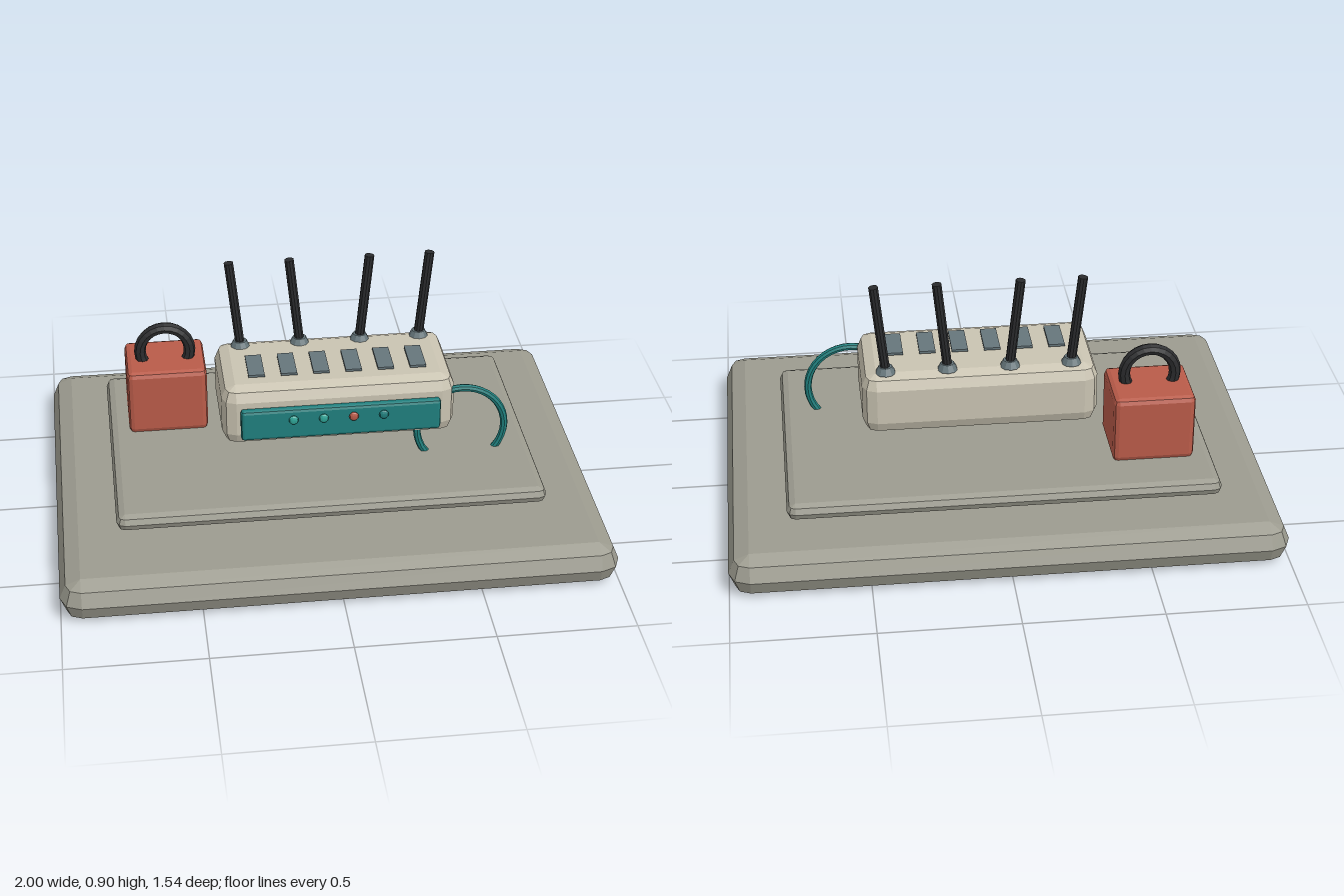
import * as THREE from 'three';

const mat = (name, color) => {
  const m = new THREE.MeshStandardMaterial({ color });
  m.name = name;
  return m;
};

// Give a geometry hard facets
function facet(geo) {
  const g = geo.index ? geo.toNonIndexed() : geo;
  g.computeVertexNormals();
  return g;
}

// Box with two-step bevels on every edge, stacked from rounded-rectangle loops
function bevelBox(w, h, d, r) {
  const rings = [];
  for (const [lat, side] of [[-90, -1], [-45, -1], [0, -1], [0, 1], [45, 1], [90, 1]]) {
    const e = THREE.MathUtils.degToRad(lat), ring = [];
    for (let c = 0; c < 4; c++) {
      const sx = c === 0 || c === 3 ? 1 : -1, sz = c < 2 ? -1 : 1;
      for (let k = 0; k < 3; k++) {
        const a = (c * 2 + k) * Math.PI / 4;
        ring.push(new THREE.Vector3(
          sx * (w / 2 - r) + r * Math.cos(e) * Math.cos(a),
          side * (h / 2 - r) + r * Math.sin(e),
          sz * (d / 2 - r) - r * Math.cos(e) * Math.sin(a)));
      }
    }
    rings.push(ring);
  }
  const pts = [], tri = new THREE.Triangle();
  const add = (a, b, c) => {
    if (tri.set(a, b, c).getArea() > 1e-9) pts.push(a, b, c);
  };
  for (let j = 0; j < rings.length - 1; j++) {
    for (let i = 0; i < 12; i++) {
      const n = (i + 1) % 12, lo = rings[j], hi = rings[j + 1];
      add(lo[i], lo[n], hi[n]);
      add(lo[i], hi[n], hi[i]);
    }
  }
  const b = rings[0], t = rings[5];
  for (let i = 1; i < 11; i++) {
    add(t[0], t[i], t[i + 1]);
    add(b[0], b[i + 1], b[i]);
  }
  return facet(new THREE.BufferGeometry().setFromPoints(pts));
}

export function createModel() {
  const model = new THREE.Group();
  const stone = mat('stone', 0x9c9b8f);
  const cream = mat('cream', 0xc9c3b1);
  const red = mat('brick red', 0xb95b49);
  const teal = mat('teal', 0x1f7f7d);
  const mint = mat('bright teal', 0x2fa597);
  const slate = mat('slate', 0x66767b);
  const black = mat('charcoal', 0x2a2b2d);

  const add = (name, geo, material, x, y, z, parent = model) => {
    const m = new THREE.Mesh(geo, material);
    m.name = name;
    m.position.set(x, y, z);
    parent.add(m);
    return m;
  };
  // Bevelled box placed by its extents
  const block = (name, material, x0, x1, y0, y1, z0, z1, r) =>
    add(name, bevelBox(x1 - x0, y1 - y0, z1 - z0, r), material,
      (x0 + x1) / 2, (y0 + y1) / 2, (z0 + z1) / 2);

  // Two-tier stand
  block('base', stone, -1, 1, 0, 0.152, -0.772, 0.772, 0.076);
  block('plinth', stone, -0.785, 0.785, 0.174, 0.236, -0.553, 0.469, 0.031);

  // Router housing and front panel
  block('housing', cream, -0.375, 0.49, 0.318, 0.556, -0.233, 0.17, 0.052);
  block('frontPanel', teal, -0.31, 0.43, 0.36, 0.483, 0.165, 0.2, 0.012);

  // Indicator lights
  const lights = new THREE.Group();
  lights.name = 'indicatorLights';
  model.add(lights);
  const lightGeo = facet(new THREE.SphereGeometry(0.018, 10, 8).scale(1, 1, 0.5));
  [mint, mint, red, teal].forEach((m, i) =>
    add('light', lightGeo, m, -0.118 + i * 0.111, 0.445, 0.209, lights));

  // Vents on the lid
  const vents = new THREE.Group();
  vents.name = 'vents';
  model.add(vents);
  const ventGeo = new THREE.BoxGeometry(0.06, 0.009, 0.15);
  for (let i = 0; i < 6; i++) add('vent', ventGeo, slate, -0.24 + i * 0.12, 0.566, 0.008, vents);

  // Antennas splayed outward in pairs, each on a tapered foot
  const footGeo = facet(new THREE.CylinderGeometry(0.025, 0.038, 0.026, 10));
  const rodGeo = facet(new THREE.CylinderGeometry(0.018, 0.018, 0.345, 10));
  [-0.278, -0.053, 0.176, 0.402].forEach((x, i) => {
    const antenna = new THREE.Group();
    antenna.name = 'antenna';
    model.add(antenna);
    add('antennaFoot', footGeo, slate, x, 0.565, -0.173, antenna);
    const lean = i < 2 ? -1 : 1;
    const rod = add('antennaRod', rodGeo, black, x + lean * 0.018, 0.731, -0.176, antenna);
    const dir = new THREE.Vector3(lean * 0.036, 0.34, -0.007).normalize();
    rod.quaternion.setFromUnitVectors(new THREE.Vector3(0, 1, 0), dir);
  });

  // Looped cable at the side
  add('cableLoop', facet(new THREE.TorusGeometry(0.165, 0.014, 8, 40)), teal, 0.516, 0.33, 0.139);

  // Padlock
  block('lockBody', red, -0.71, -0.41, 0.232, 0.49, -0.372, -0.109, 0.02);
  add('lockShackle', facet(new THREE.TorusGeometry(0.094, 0.022, 8, 24)), black, -0.56, 0.525, -0.228);

  return model;
}
